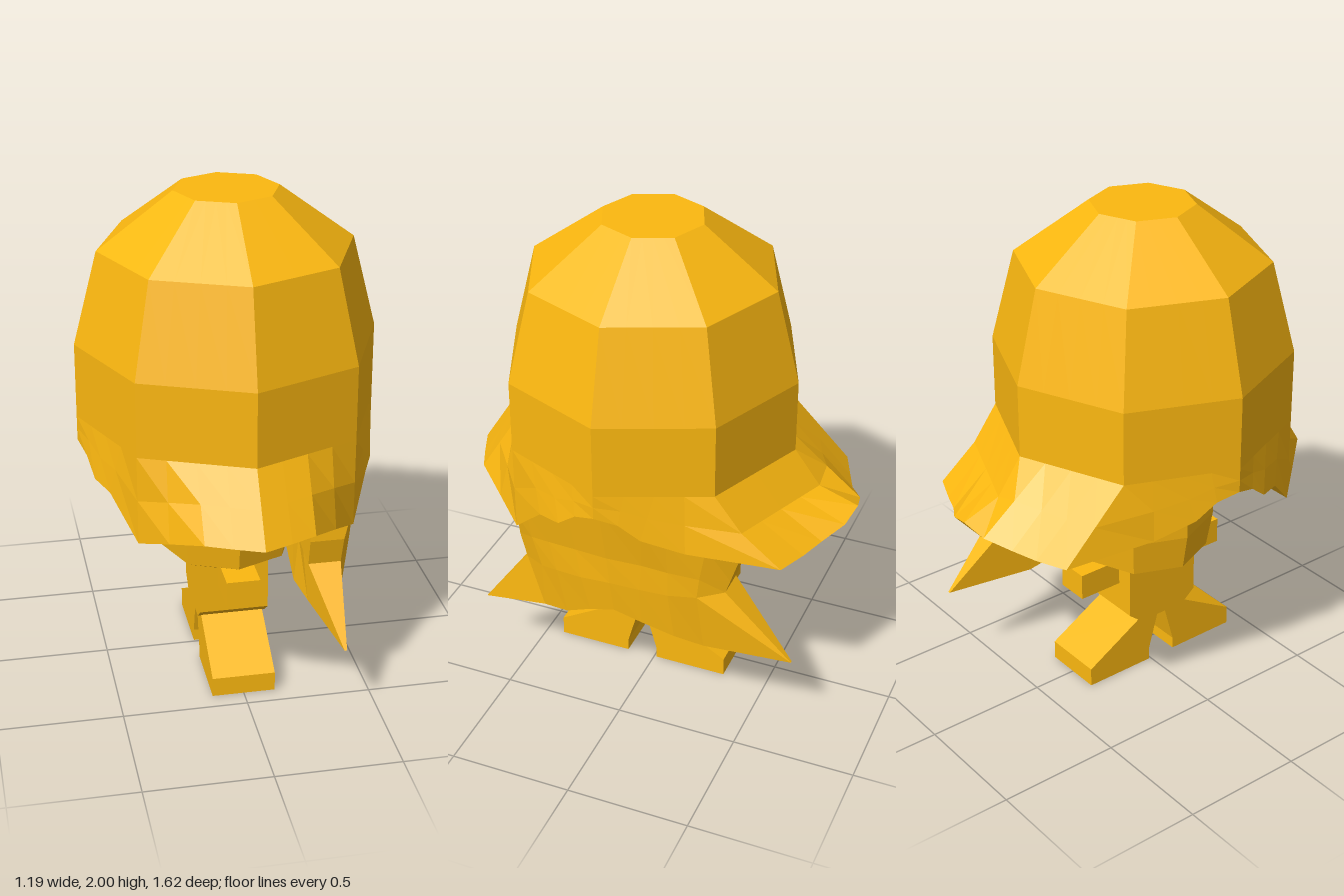
import * as THREE from 'three';

const material = new THREE.MeshStandardMaterial({ color: 0xfcb810, flatShading: true, side: THREE.DoubleSide });

function add(group, name, geometry) {
  const mesh = new THREE.Mesh(geometry, material);
  mesh.name = name;
  group.add(mesh);
  return mesh;
}

// Skin of closed loops, listed from top to bottom
function skin(rows) {
  const pos = [];
  for (let i = 0; i < rows.length - 1; i++) {
    const n = rows[i].length;
    for (let j = 0; j < n; j++) {
      const k = (j + 1) % n;
      const a = rows[i][j], b = rows[i][k], c = rows[i + 1][k], d = rows[i + 1][j];
      pos.push(...a, ...d, ...c, ...a, ...c, ...b);
    }
  }
  const g = new THREE.BufferGeometry();
  g.setAttribute('position', new THREE.Float32BufferAttribute(pos, 3));
  g.computeVertexNormals();
  return g;
}

const lerp = (a, b, t) => a.map((v, i) => v + (b[i] - v) * t);

// Octagon with each side cut in four, starting at the front
function octagon(r, y) {
  const corner = (k) => [r * Math.sin(k * Math.PI / 4), y, 0.05 + r * Math.cos(k * Math.PI / 4)];
  return Array.from({ length: 32 }, (_, j) => lerp(corner(j >> 2), corner((j >> 2) + 1), (j % 4) / 4));
}

// Part drawn in the z-y plane and extruded across x
function sidePlate(points, width) {
  const shape = new THREE.Shape(points.map(([z, y]) => new THREE.Vector2(-z, y)));
  const g = new THREE.ExtrudeGeometry(shape, { depth: width, bevelEnabled: false });
  g.translate(0, 0, -width / 2);
  g.rotateY(Math.PI / 2);
  return g;
}

export function createModel() {
  const group = new THREE.Group();

  // Helmet: faceted dome flaring into a wavy brim, closed underneath
  const halfHem = [
    [0, 0.85, 0.81], [0.11, 0.85, 0.765], [0.21, 0.85, 0.72], [0.32, 0.80, 0.59],
    [0.42, 0.75, 0.47], [0.505, 0.9, 0.32], [0.55, 0.915, 0.22], [0.57, 0.98, 0.14],
    [0.595, 1.01, 0.05], [0.57, 0.985, -0.04], [0.545, 0.92, -0.12], [0.49, 0.865, -0.28],
    [0.42, 0.845, -0.64], [0.3, 0.845, -0.69], [0.2, 0.855, -0.73], [0.1, 0.885, -0.79], [0, 0.915, -0.81],
  ];
  const hem = [...halfHem, ...halfHem.slice(1, 16).reverse().map(([x, y, z]) => [-x, y, z])];
  const wall = octagon(0.595, 1.11);
  // Crease above the rear brim, on one side only
  const crease = wall.map((p, j) => (j >= 12 && j <= 16
    ? lerp([0.42, 0.97, -0.48], [0, 0.97, -0.65], (j - 12) / 4)
    : lerp(p, hem[j], 0.5)));
  add(group, 'helmet', skin([
    octagon(0, 2), octagon(0.205, 2), octagon(0.5, 1.78), octagon(0.595, 1.41),
    wall, crease, hem, hem.map(([, y, z]) => [0, y, z]),
  ]));

  // Head
  add(group, 'head', skin([
    octagon(0, 1.05), octagon(0.295, 1.05), octagon(0.295, 0.66),
    octagon(0.27, 0.51), octagon(0.16, 0.45), octagon(0, 0.45),
  ]));

  // Beard: rows of [z, y, outer x, inner x] with a pointed tip at each end
  const beardRows = [
    [[0.47, 0.79, 0.41, 0.25], [0.41, 0.85, 0.45, 0.25], [0.32, 0.92, 0.49, 0.25],
      [0.2, 0.95, 0.52, 0.25], [0.05, 1.02, 0.55, 0.25], [-0.11, 0.95, 0.52, 0.25],
      [-0.2, 0.9, 0.49, 0.25], [-0.35, 0.88, 0.45, 0.25], [-0.48, 0.86, 0.41, 0.27]],
    [[0.475, 0.69, 0.385, 0.25], [0.4, 0.72, 0.43, 0.25], [0.31, 0.74, 0.46, 0.25],
      [0.18, 0.76, 0.49, 0.25], [0.04, 0.77, 0.51, 0.25], [-0.1, 0.76, 0.49, 0.25],
      [-0.2, 0.74, 0.47, 0.25], [-0.32, 0.72, 0.44, 0.25], [-0.43, 0.71, 0.39, 0.27]],
    [[0.45, 0.58, 0.38, 0.25], [0.36, 0.59, 0.43, 0.25], [0.28, 0.61, 0.46, 0.25],
      [0.16, 0.63, 0.49, 0.25], [0.03, 0.65, 0.505, 0.25], [-0.09, 0.64, 0.49, 0.25],
      [-0.2, 0.63, 0.47, 0.25], [-0.31, 0.63, 0.44, 0.25], [-0.41, 0.65, 0.39, 0.27]],
    [[0.66, 0.3, 0.36, 0.35], [0.37, 0.37, 0.4, 0.27], [0.25, 0.4, 0.44, 0.24],
      [0.13, 0.47, 0.475, 0.24], [0.02, 0.51, 0.49, 0.24], [-0.09, 0.47, 0.475, 0.24],
      [-0.22, 0.42, 0.45, 0.24], [-0.33, 0.375, 0.41, 0.27], [-0.68, 0.36, 0.36, 0.35]],
  ].map((row) => [
    ...row.map(([z, y, xo]) => [xo, y, z]),
    ...row.map(([z, y, , xi]) => [xi, y, z]).reverse(),
  ]);
  const seam = (loop) => loop.map((p, k) => lerp(p, loop[loop.length - 1 - k], 0.5));
  add(group, 'beard', skin([seam(beardRows[0]), ...beardRows, seam(beardRows[3])]));

  // Body with chamfered hips
  add(group, 'body', sidePlate([
    [0.22, 0.5], [0.22, 0.27], [0.16, 0.22], [-0.06, 0.22], [-0.12, 0.27], [-0.12, 0.5],
  ], 0.28));

  // Arms and wedge-shaped legs, mirrored about the middle of the body
  for (const [label, s] of [['front', 1], ['back', -1]]) {
    const arm = add(group, label + 'Arm', new THREE.BoxGeometry(0.135, 0.11, 0.22));
    arm.position.set(0, 0.45, 0.05 + s * 0.25);
    const leg = [[0.015, 0.23], [0.11, 0.23], [0.37, 0.08], [0.37, 0], [0.065, 0], [0.065, 0.05]];
    add(group, label + 'Leg', sidePlate(leg.map(([z, y]) => [0.055 + s * z, y]), 0.255));
  }

  return group;
}
